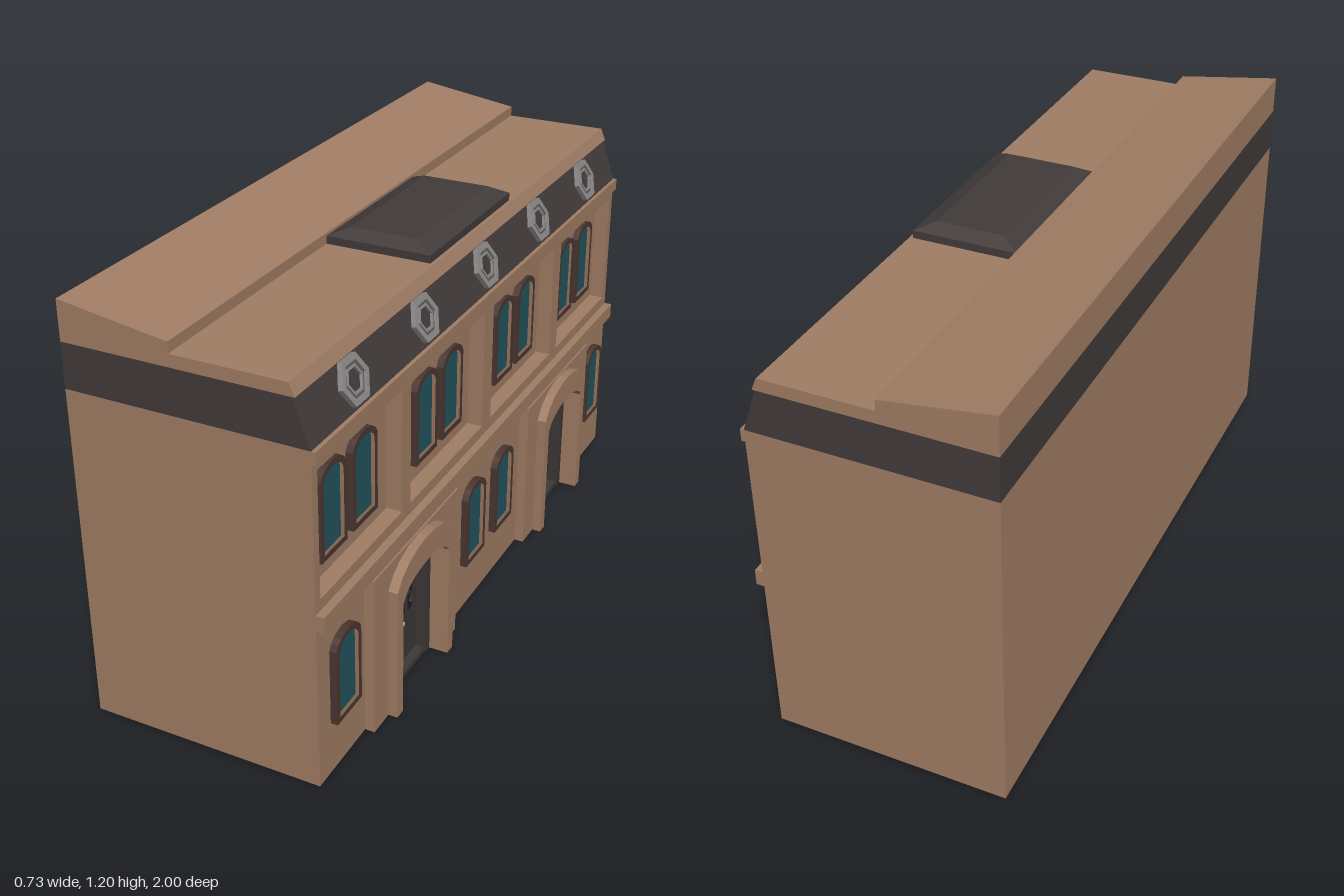
import * as THREE from 'three';

const mat = (name, color, side = THREE.FrontSide) => {
  const m = new THREE.MeshStandardMaterial({ color, side });
  m.name = name;
  return m;
};

export function createModel() {
  const M = {
    stone: mat('brownstone', 0xa27e65),
    slate: mat('darkSlate', 0x423b3b),
    frame: mat('windowFrameBrown', 0x4a3631),
    glass: mat('tealGlass', 0x22545f),
    door: mat('doorCharcoal', 0x3d3838),
    black: mat('doorPanelBlack', 0x211e1f),
    grey: mat('ornamentGrey', 0x8c8a89),
    darkGrey: mat('ornamentDarkGrey', 0x5b5758),
    silver: mat('mailSlotSilver', 0xc4c2c0),
  };
  const root = new THREE.Group();

  const add = (name, geo, material, parent = root) => {
    const m = new THREE.Mesh(geo, material);
    m.name = name;
    parent.add(m);
    return m;
  };
  const group = (name, z) => {
    const g = new THREE.Group();
    g.name = name;
    g.position.z = z;
    root.add(g);
    return g;
  };
  // Box given by its limits
  const box = (name, x0, x1, y0, y1, z0, z1, material, parent) => {
    const m = add(name, new THREE.BoxGeometry(x1 - x0, y1 - y0, z1 - z0), material, parent);
    m.position.set((x0 + x1) / 2, (y0 + y1) / 2, (z0 + z1) / 2);
    return m;
  };
  // Cross-section in x, y swept along the whole length of the building
  const sweep = (name, pts, material) => {
    const s = new THREE.Shape(pts.map(p => new THREE.Vector2(...p)));
    const g = new THREE.ExtrudeGeometry(s, { depth: 2, bevelEnabled: false });
    return add(name, g.translate(0, 0, -1), material);
  };
  // Facade shape (drawn in -z, y) extruded towards +x from x0 to x1
  const facing = (name, shape, x0, x1, material, parent) => {
    const g = new THREE.ExtrudeGeometry(shape, { depth: x1 - x0, bevelEnabled: false, curveSegments: 8 });
    return add(name, g.rotateY(Math.PI / 2).translate(x0, 0, 0), material, parent);
  };
  // Segmental arch outline appended to a path
  const archTo = (path, c, w, y0, top, rise) => {
    const ys = top - rise, yc = ys + rise / 0.75;
    path.lineTo(c - w, y0);
    path.lineTo(c - w, ys);
    path.bezierCurveTo(c - w * 0.75, yc, c + w * 0.75, yc, c + w, ys);
    path.lineTo(c + w, y0);
    return path;
  };
  const arch = (w, y0, top, rise, Type = THREE.Shape) => {
    const p = new Type();
    p.moveTo(-w, y0);
    archTo(p, 0, w, y0, top, rise);
    p.closePath();
    return p;
  };

  // Main block, mansard band and roof
  const back = -0.365, recess = 0.26, wall = 0.305;
  sweep('mainBlock', [[back, 0], [recess, 0], [recess, 0.96], [back, 0.96]], M.stone);
  sweep('mansardBand', [[back, 0.96], [wall, 0.96], [0.26, 1.085], [back, 1.085]], M.slate);
  sweep('roof', [[back, 1.085], [0.268, 1.085], [0.253, 1.12], [-0.06, 1.12], [-0.06, 1.15], [back, 1.195]], M.stone);

  // Facade wall with door notches and sunken upper panels
  const doors = [0.505, -0.51];
  const facade = new THREE.Shape();
  facade.moveTo(-1, 0);
  doors.forEach(z => archTo(facade, -z, 0.14, 0, 0.395, 0.05));
  facade.lineTo(1, 0);
  facade.lineTo(1, 0.96);
  facade.lineTo(-1, 0.96);
  facade.closePath();
  for (const [a, b] of [[0.975, 0.545], [0.495, 0.035], [-0.025, -0.485], [-0.54, -0.97]]) {
    const hole = new THREE.Path();
    hole.moveTo(-a, 0.55);
    hole.lineTo(-b, 0.55);
    hole.lineTo(-b, 0.9);
    hole.lineTo(-a, 0.9);
    hole.closePath();
    facade.holes.push(hole);
  }
  facing('facadeWall', facade, recess, wall, M.stone);
  box('cornice', recess + 0.03, 0.316, 0.925, 0.96, -1, 1, M.stone);
  box('floorLedge', recess + 0.03, 0.328, 0.472, 0.518, -1, 1, M.stone);

  // Arched windows
  const addWindow = (z, y0, top, x) => {
    const g = group('window', z);
    const f = arch(0.064, y0, top, 0.036);
    f.holes.push(arch(0.049, y0 + 0.016, top - 0.016, 0.03, THREE.Path));
    facing('windowFrame', f, x, x + 0.02, M.frame, g);
    facing('windowGlass', arch(0.052, y0 + 0.012, top - 0.013, 0.03), x, x + 0.008, M.glass, g);
  };
  for (const z of [0.855, 0.695, 0.345, 0.185, -0.175, -0.335, -0.67, -0.83]) addWindow(z, 0.605, 0.86, recess);
  for (const z of [0.875, 0.1, -0.105, -0.875]) addWindow(z, 0.155, 0.41, wall);

  // Portals: flat surround, raised arch and double door
  for (const z of doors) {
    const g = group('portal', z);
    const pier = new THREE.Shape();
    pier.moveTo(-0.252, 0);
    archTo(pier, 0, 0.14, 0, 0.395, 0.05);
    pier.lineTo(0.252, 0);
    pier.lineTo(0.252, 0.472);
    pier.lineTo(-0.252, 0.472);
    pier.closePath();
    facing('portalSurround', pier, wall, 0.333, M.stone, g);

    const ring = new THREE.Shape();
    ring.moveTo(-0.173, 0);
    archTo(ring, 0, 0.14, 0, 0.395, 0.05);
    ring.lineTo(0.173, 0);
    ring.lineTo(0.173, 0.395);
    ring.bezierCurveTo(0.12, 0.495, -0.12, 0.495, -0.173, 0.395);
    ring.closePath();
    facing('portalArch', ring, 0.333, 0.36, M.stone, g);

    const frame = new THREE.Shape();
    frame.moveTo(-0.14, 0);
    archTo(frame, 0, 0.118, 0, 0.372, 0.045);
    frame.lineTo(0.14, 0);
    frame.lineTo(0.14, 0.345);
    frame.bezierCurveTo(0.105, 0.4117, -0.105, 0.4117, -0.14, 0.345);
    frame.closePath();
    facing('doorFrame', frame, recess, 0.304, M.door, g);
    facing('doorLeaf', arch(0.12, 0, 0.375, 0.045), recess, 0.272, M.door, g);
    box('doorStep', recess, 0.3, 0, 0.014, -0.118, 0.118, M.door, g);
    box('mailSlot', 0.272, 0.277, 0.134, 0.142, -0.04, 0.04, M.silver, g);

    // Glazed door panels with scrolled ironwork
    for (const s of [-1, 1]) {
      const leaf = new THREE.Group();
      leaf.name = 'doorPanel';
      leaf.position.z = s * 0.047;
      g.add(leaf);
      const rim = arch(0.041, 0.165, 0.35, 0.022);
      rim.holes.push(arch(0.035, 0.171, 0.344, 0.02, THREE.Path));
      facing('panelRim', rim, 0.272, 0.281, M.door, leaf);
      facing('panelInset', arch(0.037, 0.169, 0.346, 0.02), 0.272, 0.275, M.black, leaf);
      for (const [y, r, dir] of [[0.305, 0.022, 1], [0.258, 0.016, -1], [0.21, 0.022, 1]]) {
        const scroll = add('ironScroll', new THREE.TorusGeometry(r, 0.004, 5, 14, Math.PI * 1.5), M.door, leaf);
        scroll.rotation.set(0, Math.PI / 2, dir * s * 0.8);
        scroll.position.set(0.277, y, dir * s * 0.006);
      }
      box('ironBar', 0.274, 0.279, 0.171, 0.34, -0.003, 0.003, M.door, leaf);
    }
  }

  // Hexagonal dormer ornaments leaning on the mansard slope
  const hex = (r, Type = THREE.Shape) => {
    const p = new Type();
    for (let i = 0; i < 6; i++) {
      const a = i * Math.PI / 3;
      p[i ? 'lineTo' : 'moveTo'](r * Math.cos(a), r * Math.sin(a));
    }
    p.closePath();
    return p;
  };
  const hexRing = (r, inner) => {
    const s = hex(r);
    s.holes.push(hex(inner, THREE.Path));
    return s;
  };
  for (const z of [0.765, 0.383, 0, -0.38, -0.763]) {
    const g = group('roofOrnament', z);
    g.position.x = 0.281;
    g.position.y = 1.025;
    g.rotation.z = Math.atan2(0.045, 0.125);
    facing('ornamentRim', hexRing(0.065, 0.048), 0, 0.014, M.grey, g);
    facing('ornamentBand', hexRing(0.05, 0.034), 0, 0.009, M.darkGrey, g);
    facing('ornamentInnerRim', hexRing(0.038, 0.031), 0, 0.012, M.grey, g);
    facing('ornamentCentre', hex(0.033), 0, 0.006, M.slate, g);
  }

  // Roof hatch: low curb with a bevelled lid
  box('hatchCurb', -0.06, 0.243, 1.115, 1.142, -0.26, 0.26, M.slate);
  const lid = new THREE.BoxGeometry(0.303, 0.023, 0.52);
  const p = lid.attributes.position;
  for (let i = 0; i < p.count; i++) {
    if (p.getY(i) > 0) {
      p.setX(i, p.getX(i) - Math.sign(p.getX(i)) * 0.054);
      p.setZ(i, p.getZ(i) - Math.sign(p.getZ(i)) * 0.036);
    }
  }
  lid.computeVertexNormals();
  add('hatchLid', lid, M.slate).position.set(0.0915, 1.1535, 0);

  return root;
}
